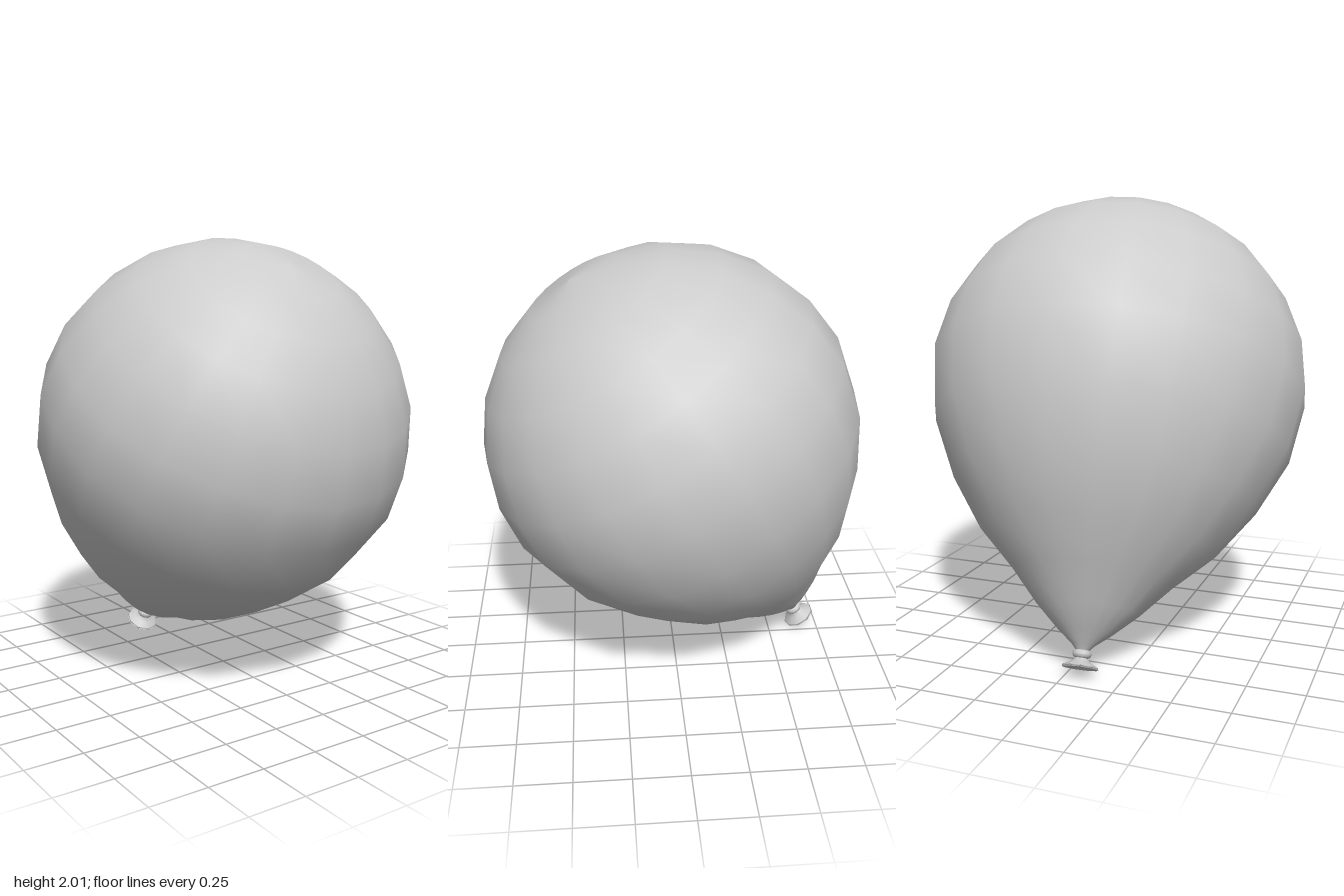
import * as THREE from 'three';

const material = new THREE.MeshStandardMaterial({ color: 0xcccccc });
const lipMaterial = new THREE.MeshStandardMaterial({ color: 0xcccccc, side: THREE.DoubleSide });

// Revolves [radius, height] pairs, listed from bottom to top, around the balloon axis
function turned(name, profile, sides, mat) {
  const points = profile.map(([r, h]) => new THREE.Vector2(r, h));
  const mesh = new THREE.Mesh(new THREE.LatheGeometry(points, sides), mat);
  mesh.name = name;
  return mesh;
}

export function createModel() {
  const model = new THREE.Group();
  model.name = 'balloon';

  // Tilted axis: heights are measured from the centre of the round part
  const tilted = new THREE.Group();
  tilted.name = 'tiltedBalloon';
  tilted.position.set(0, 1.14, 0);
  tilted.quaternion.setFromUnitVectors(
    new THREE.Vector3(0, 1, 0),
    new THREE.Vector3(0.055, 0.855, 0.515).normalize()
  );
  model.add(tilted);

  // Inflated body: tapered neck, then a round crown
  const body = [
    [0.018, -1.225], [0.05, -1.19], [0.12, -1.135], [0.225, -1.04], [0.355, -0.9],
    [0.522, -0.745], [0.682, -0.53], [0.812, -0.275],
  ];
  const rings = 6;
  for (let i = 0; i <= rings; i++) {
    const a = (i / rings) * Math.PI / 2;
    body.push([i === rings ? 0 : 0.864 * Math.cos(a), 0.868 * Math.sin(a)]);
  }
  tilted.add(turned('body', body, 20, material));

  // Rolled knot
  const knot = new THREE.Mesh(new THREE.TorusGeometry(0.024, 0.018, 8, 12), material);
  knot.name = 'knot';
  knot.rotation.x = Math.PI / 2;
  knot.position.y = -1.228;
  tilted.add(knot);

  // Flared mouth below the knot, with a hollow underside
  const lip = [[0, -1.262], [0.035, -1.271], [0.08, -1.288], [0.076, -1.279], [0.045, -1.263], [0.025, -1.245], [0.022, -1.225]];
  tilted.add(turned('mouthLip', lip, 9, lipMaterial));

  return model;
}
